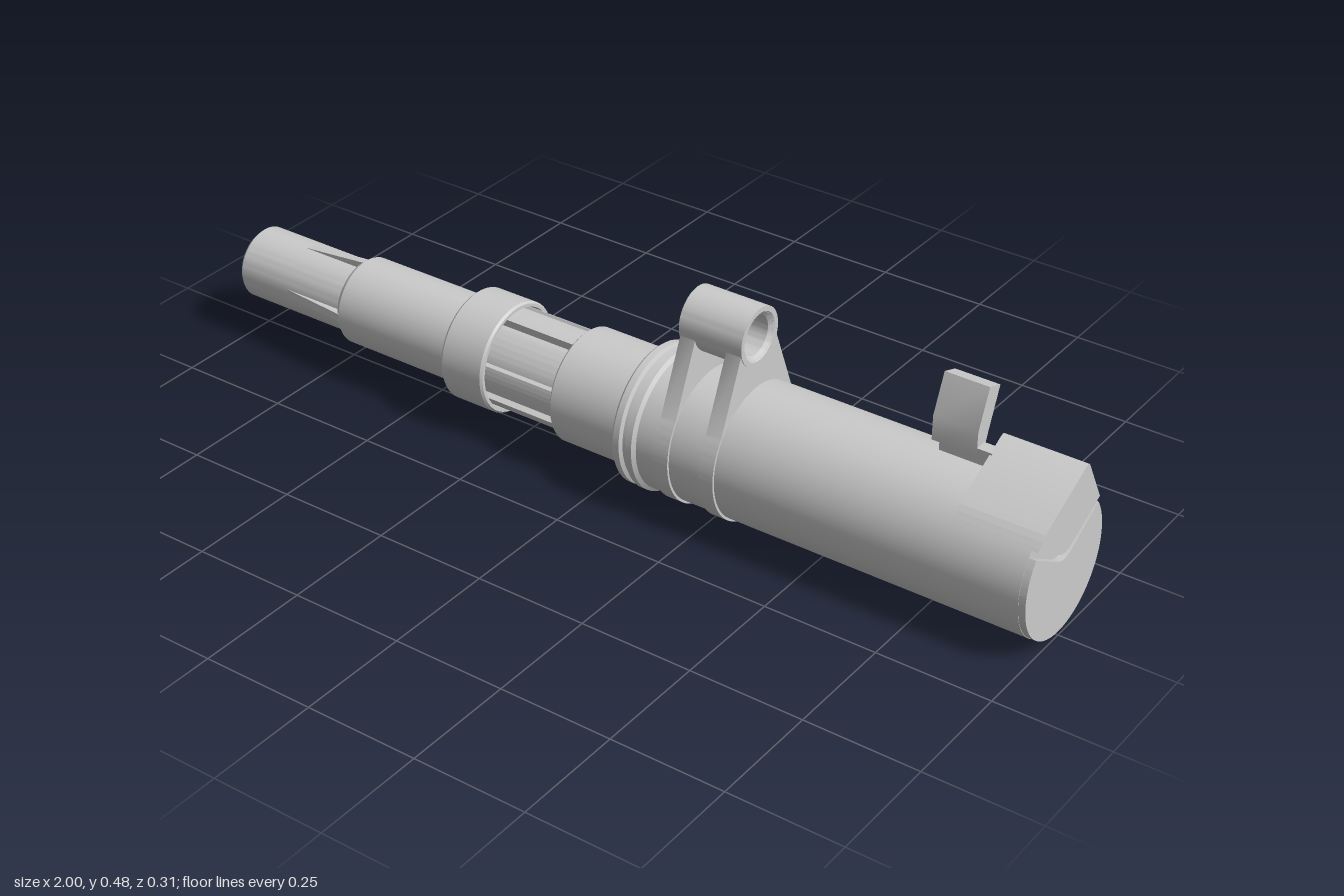
import * as THREE from 'three';
import { toCreasedNormals } from 'three/addons/utils/BufferGeometryUtils.js';

const AXIS_Y = 0.157;
const material = new THREE.MeshStandardMaterial({ color: 0xcccccc });

export function createModel() {
  const group = new THREE.Group();

  const add = (name, geometry) => {
    const mesh = new THREE.Mesh(toCreasedNormals(geometry, 0.5), material);
    mesh.name = name;
    group.add(mesh);
    return mesh;
  };

  // Turned part along x; points are [x, radius]
  const turned = (name, points, y = AXIS_Y, segments = 64) => {
    const geometry = new THREE.LatheGeometry(points.map(([x, r]) => new THREE.Vector2(r, x)), segments);
    geometry.rotateZ(-Math.PI / 2).translate(0, y, 0);
    return add(name, geometry);
  };

  // Cross-section drawn in (z, y), running from x0 to x1
  const section = (name, shape, x0, x1) => {
    const geometry = new THREE.ExtrudeGeometry(shape, { depth: x1 - x0, bevelEnabled: false, curveSegments: 48 });
    geometry.rotateY(-Math.PI / 2).translate(x1, 0, 0);
    return add(name, geometry);
  };
  const polygon = (points) => new THREE.Shape(points.map(([z, y]) => new THREE.Vector2(z, y)));

  // Hollow front tube, stepped barrel and open-backed ring
  turned('frontBarrel', [
    [-0.75, 0], [-0.75, 0.05], [-0.985, 0.05], [-1, 0.057], [-1, 0.074], [-0.993, 0.08],
    [-0.71, 0.08], [-0.71, 0.09], [-0.7, 0.097], [-0.4, 0.097], [-0.4, 0.118], [-0.394, 0.123],
    [-0.295, 0.123], [-0.29, 0.119], [-0.29, 0.112], [-0.37, 0.112], [-0.37, 0.088],
    [-0.1, 0.088], [-0.1, 0],
  ]);

  // Four wedge fins that rise toward the barrel step
  for (let i = 0; i < 4; i++) {
    const wedge = new THREE.Shape([
      new THREE.Vector2(-0.86, 0.076), new THREE.Vector2(-0.7, 0.076),
      new THREE.Vector2(-0.7, 0.096), new THREE.Vector2(-0.72, 0.094), new THREE.Vector2(-0.86, 0.08),
    ]);
    const fin = new THREE.ExtrudeGeometry(wedge, { depth: 0.018, bevelEnabled: false });
    fin.translate(0, 0, -0.009).rotateX(i * Math.PI / 2).translate(0, AXIS_Y, 0);
    add('barrelFin', fin);
  }

  // Eight curved bars around the narrow neck
  for (let i = 0; i < 8; i++) {
    const a = i * Math.PI / 4, half = 0.28;
    const bar = new THREE.Shape();
    bar.absarc(0, AXIS_Y, 0.109, a - half, a + half, false);
    bar.absarc(0, AXIS_Y, 0.08, a + half, a - half, true);
    section('neckBar', bar, -0.37, -0.1);
  }

  // Middle sleeve, double collar and main body
  turned('mainBody', [
    [-0.115, 0], [-0.115, 0.12], [-0.11, 0.125], [0.063, 0.125], [0.063, 0.149], [0.068, 0.153],
    [0.082, 0.153], [0.086, 0.145], [0.095, 0.145], [0.099, 0.155], [0.114, 0.155],
    [0.12, 0.147], [0.985, 0.147], [0.985, 0],
  ]);

  // End plate below the V groove
  const plate = new THREE.Shape();
  const start = Math.atan2(0.084, 0.119);
  plate.absarc(0, AXIS_Y, 0.146, Math.PI - start, Math.PI * 2 + start, false);
  plate.lineTo(0.03, 0.187);
  plate.quadraticCurveTo(0.005, 0.172, -0.025, 0.187);
  plate.closePath();
  section('endPlate', plate, 0.98, 1);

  // Raised block above the V groove
  const block = new THREE.Shape();
  block.moveTo(0.114, 0.255);
  block.lineTo(0.025, 0.2);
  block.quadraticCurveTo(0.003, 0.188, -0.02, 0.199);
  block.lineTo(-0.123, 0.252);
  block.lineTo(-0.068, 0.351);
  block.quadraticCurveTo(-0.064, 0.358, -0.055, 0.355);
  block.lineTo(0.085, 0.283);
  block.quadraticCurveTo(0.095, 0.278, 0.114, 0.255);
  section('endBlock', block, 0.82, 1);

  // Two eyelet plates wrapped round the body
  const EYE_Y = 0.417;
  for (const x of [0.165, 0.273]) {
    const eyelet = new THREE.Shape();
    const low = Math.atan2(0.088, 0.124), high = -0.27;
    eyelet.absarc(0, AXIS_Y, 0.152, Math.PI - low, Math.PI * 2 + low, false);
    eyelet.absarc(0, EYE_Y, 0.063, high, Math.PI - high, false);
    eyelet.closePath();
    const hole = new THREE.Path();
    hole.absarc(0, EYE_Y, 0.05, 0, Math.PI * 2, true);
    eyelet.holes.push(hole);
    section('eyeletPlate', eyelet, x, x + 0.035);
  }

  // Tube through both eyelets
  turned('eyeletTube', [
    [0.172, 0.042], [0.163, 0.053], [0.163, 0.064], [0.31, 0.064],
    [0.31, 0.053], [0.301, 0.042], [0.172, 0.042],
  ], EYE_Y, 48);

  // Leaning lever and its foot
  section('lever', polygon([
    [-0.046, 0.455], [-0.0125, 0.373], [-0.0125, 0.32], [-0.04, 0.32], [-0.052, 0.355], [-0.086, 0.441],
  ]), 0.695, 0.793);
  section('leverFoot', polygon([
    [-0.0125, 0.337], [-0.0125, 0.28], [-0.04, 0.28], [-0.04, 0.337],
  ]), 0.712, 0.825);

  return group;
}
